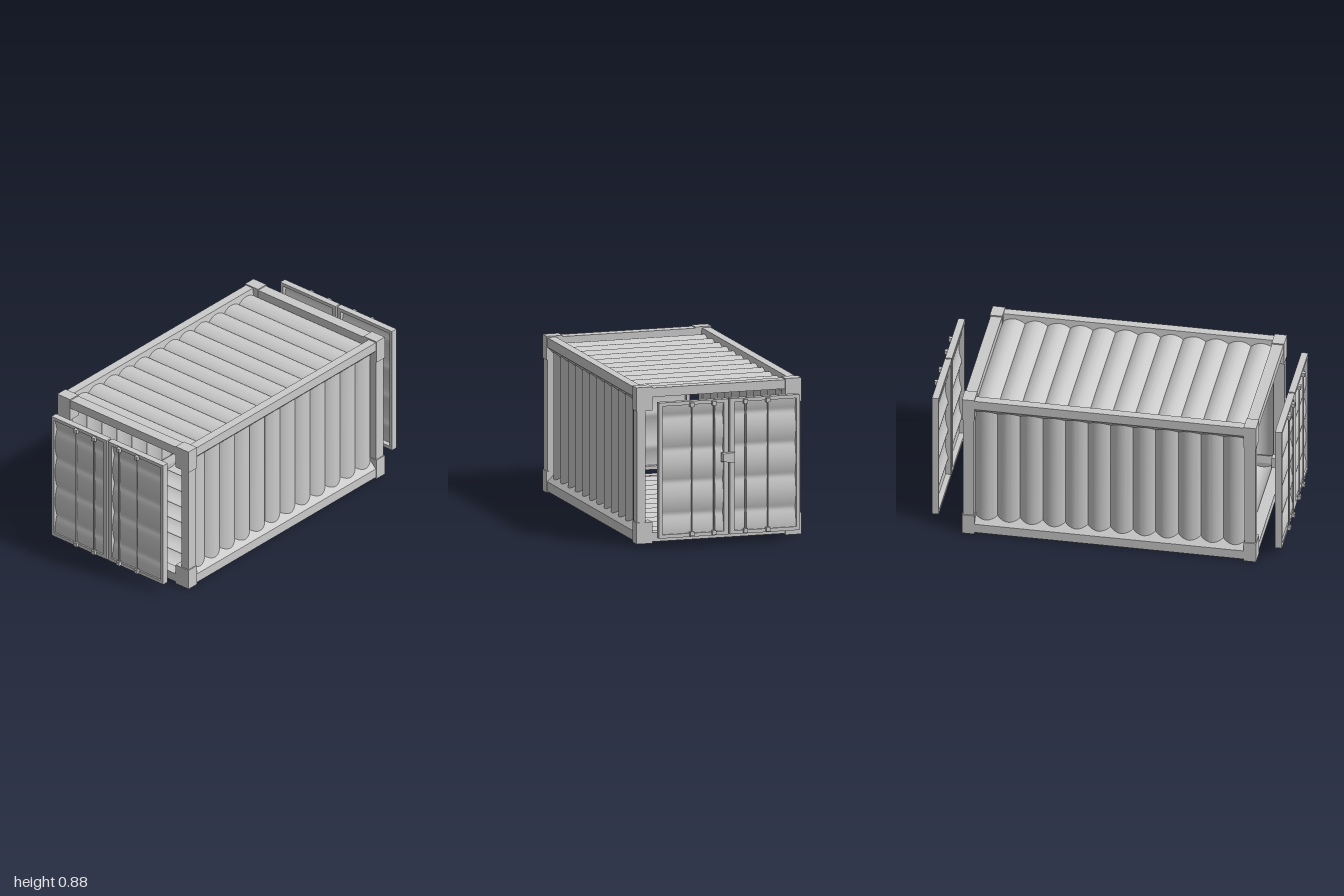
import * as THREE from 'three';
import { toCreasedNormals } from 'three/addons/utils/BufferGeometryUtils.js';

const steel = new THREE.MeshStandardMaterial({ color: 0xcccccc });
const sheet = new THREE.MeshStandardMaterial({ color: 0xcccccc, side: THREE.DoubleSide });

function add(parent, name, geometry, x = 0, y = 0, z = 0, material = steel) {
  const mesh = new THREE.Mesh(geometry, material);
  mesh.name = name;
  mesh.position.set(x, y, z);
  parent.add(mesh);
  return mesh;
}

const box = (w, h, d) => new THREE.BoxGeometry(w, h, d);

function polygon(points) {
  return new THREE.Shape(points.map(([x, y]) => new THREE.Vector2(x, y)));
}

// Sheet with rounded ribs side by side along x, bulging towards +z
function ribbedSheet(width, height, ribs, depth, phase = 0) {
  const geometry = new THREE.PlaneGeometry(width, height, ribs * 14, 1);
  const p = geometry.attributes.position;
  for (let i = 0; i < p.count; i++) {
    const t = (p.getX(i) / width + 0.5) * ribs + phase;
    p.setZ(i, depth * Math.pow(Math.abs(Math.sin(Math.PI * t)), 0.8));
  }
  return toCreasedNormals(geometry, 0.6);
}

// Box frame with corner castings, posts, rails and ribbed skins
function buildBody() {
  const body = new THREE.Group();
  body.name = 'containerBody';
  body.position.set(-0.025, 0.44, 0);

  for (const sx of [-1, 1]) {
    for (const sz of [-1, 1]) {
      add(body, 'cornerPost', box(0.062, 0.64, 0.05), sx * 0.789, 0, sz * 0.449);
      add(body, 'upperCorner', box(0.07, 0.133, 0.094), sx * 0.79, 0.3725, sz * 0.433);
      add(body, 'lowerCorner', box(0.07, 0.12, 0.094), sx * 0.79, -0.38, sz * 0.433);
    }
    for (const sy of [-1, 1]) {
      add(body, 'endRail', box(0.064, 0.051, 0.78), sx * 0.789, sy * 0.4065, 0);
    }
  }

  // Long rails with a sloping lip that runs in to the side wall
  const profile = polygon([
    [-0.475, 0.432], [-0.475, 0.378], [-0.43, 0.333], [-0.424, 0.333], [-0.418, 0.378], [-0.424, 0.432],
  ]);
  const rail = new THREE.ExtrudeGeometry(profile, { depth: 1.53, bevelEnabled: false });
  rail.translate(0, 0, -0.765);
  rail.rotateY(Math.PI / 2);
  for (const [rx, ry, rz] of [[0, 0, 0], [0, 1, 0], [1, 0, 0], [0, 0, 1]]) {
    add(body, 'longRail', rail).rotation.set(rx * Math.PI, ry * Math.PI, rz * Math.PI);
  }

  // Side walls, roof and floor
  const wall = ribbedSheet(1.52, 0.76, 12, 0.024);
  const deck = ribbedSheet(1.52, 0.85, 12, 0.024);
  const skins = [
    ['frontWall', wall, 0, 0, 0.43], ['backWall', wall, Math.PI, 0, -0.43],
    ['roof', deck, -Math.PI / 2, 0.382, 0], ['floor', deck, Math.PI / 2, -0.382, 0],
  ];
  for (const [name, geometry, angle, y, z] of skins) {
    add(body, name, geometry, 0, y, z, sheet).rotation.x = angle;
  }
  return body;
}

// One door leaf: frame, ribbed panel and two locking bars, facing +z
function buildLeaf(side) {
  const leaf = new THREE.Group();
  leaf.name = 'doorLeaf';
  leaf.position.set(side * 0.2065, 0.441, 0.943);

  const frame = polygon([[-0.202, -0.381], [0.202, -0.381], [0.202, 0.381], [-0.202, 0.381]]);
  const x0 = side > 0 ? -0.175 : -0.183;
  const x1 = side > 0 ? 0.183 : 0.175;
  frame.holes.push(polygon([[x0, -0.361], [x0, 0.361], [x1, 0.361], [x1, -0.361]]));
  add(leaf, 'doorFrame', new THREE.ExtrudeGeometry(frame, { depth: 0.038, bevelEnabled: false }));

  const panel = ribbedSheet(0.732, 0.37, 4, 0.018, 0.39);
  panel.rotateZ(Math.PI / 2);
  add(leaf, 'doorPanel', panel, 0, 0, 0.012, sheet);

  const bar = new THREE.CylinderGeometry(0.005, 0.005, 0.735, 10);
  for (const across of [0.091, 0.221]) {
    const x = side * (across - 0.2065);
    add(leaf, 'lockingBar', bar, x, 0, 0.045);
    for (const sy of [-1, 1]) {
      add(leaf, 'barBracket', box(0.023, 0.023, 0.02), x, sy * 0.363, 0.046);
    }
  }
  return leaf;
}

// Pair of leaves standing clear of the opening
function buildDoors(name, withLock) {
  const doors = new THREE.Group();
  doors.name = name;
  doors.add(buildLeaf(-1), buildLeaf(1));
  if (withLock) {
    // Lock housing across the seam, tapered at one end
    const outline = polygon([
      [-0.048, -0.025], [-0.01, -0.028], [0.028, -0.028], [0.028, 0.027], [-0.048, 0.027],
    ]);
    const lock = new THREE.ExtrudeGeometry(outline, { depth: 0.022, bevelEnabled: false });
    const p = lock.attributes.position;
    for (let i = 0; i < p.count; i++) {
      if (p.getZ(i) > 0.01 && p.getX(i) < -0.04) p.setXY(i, -0.04, p.getY(i) * 0.8);
    }
    lock.computeVertexNormals();
    add(doors, 'lockBox', lock, 0, 0.495, 0.978);
  }
  return doors;
}

export function createModel() {
  const model = new THREE.Group();
  model.name = 'shippingContainer';
  const leftDoors = buildDoors('leftDoors', true);
  leftDoors.rotation.y = Math.PI / 2;
  const rightDoors = buildDoors('rightDoors', false);
  rightDoors.rotation.y = -Math.PI / 2;
  model.add(buildBody(), leftDoors, rightDoors);
  return model;
}
